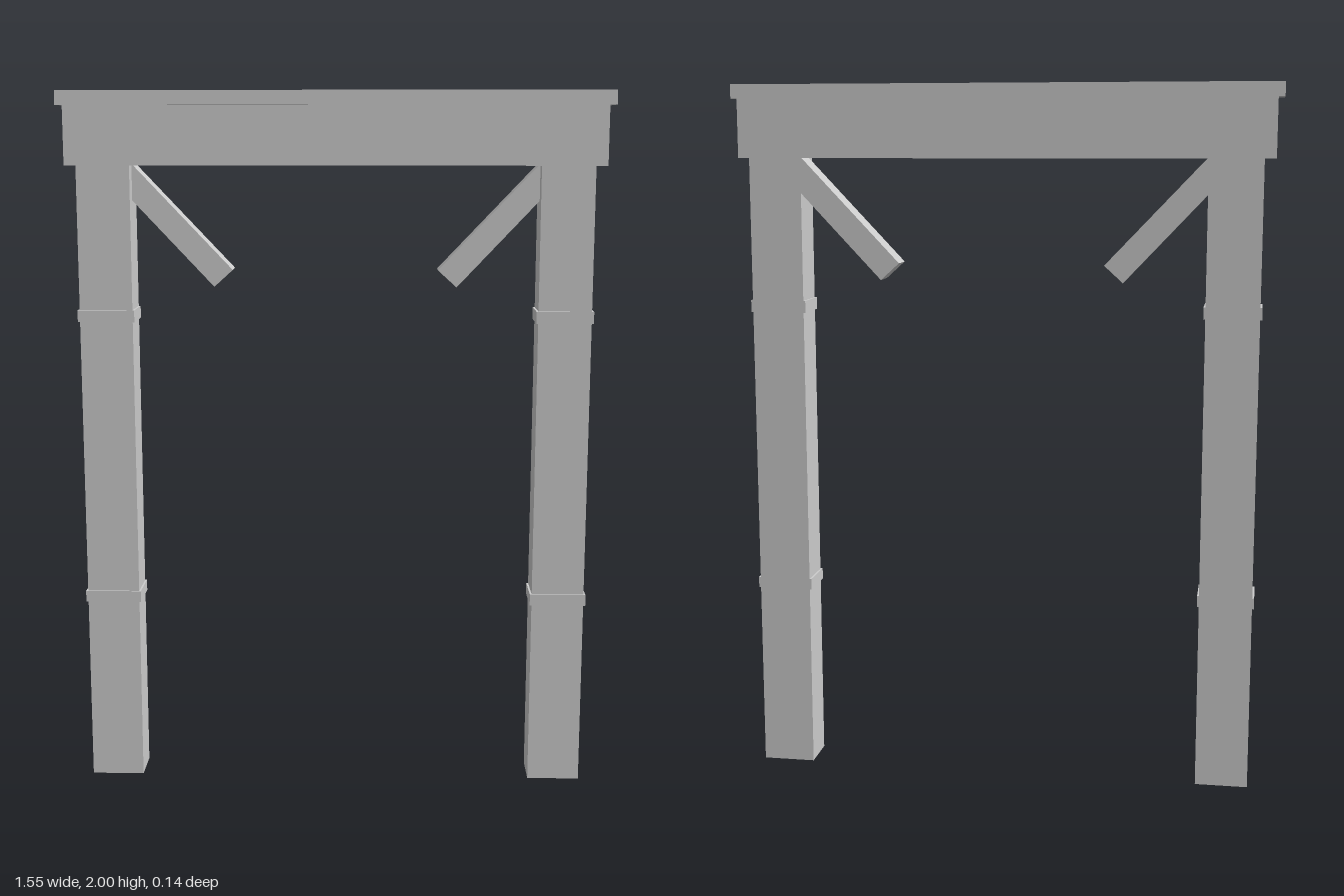
import * as THREE from 'three';

const BACK = -0.068; // every part is flush with this back plane

export function createModel() {
  const group = new THREE.Group();
  const material = new THREE.MeshStandardMaterial({ color: 0xcccccc, flatShading: true });

  function add(name, geometry, x, y, z) {
    const mesh = new THREE.Mesh(geometry, material);
    mesh.name = name;
    mesh.position.set(x, y, z);
    group.add(mesh);
  }

  // Box centred on x, from y0 to y1, running from the back plane to the front depth
  function block(name, x, width, y0, y1, front) {
    const depth = front - BACK;
    add(name, new THREE.BoxGeometry(width, y1 - y0, depth), x, (y0 + y1) / 2, BACK + depth / 2);
  }

  // Lintel and its projecting cap
  block('beam', 0, 1.51, 1.795, 1.96, 0.056);
  block('cap', 0, 1.546, 1.96, 2, 0.068);

  for (const side of [-1, 1]) {
    const label = side > 0 ? 'left' : 'right';

    // Post with two raised bands
    block(label + 'Post', side * 0.648, 0.15, 0, 1.795, 0.051);
    block(label + 'LowerBand', side * 0.648, 0.161, 0.535, 0.567, 0.056);
    block(label + 'UpperBand', side * 0.648, 0.161, 1.357, 1.391, 0.056);

    // Diagonal brace, cut flat against the post, with a free square end
    const profile = new THREE.Shape(
      [[0.573, 1.795], [0.573, 1.697], [0.344, 1.454], [0.291, 1.502], [0.569, 1.795]]
        .map(([x, y]) => new THREE.Vector2(side * x, y))
    );
    add(label + 'Brace', new THREE.ExtrudeGeometry(profile, { depth: 0.075, bevelEnabled: false }), 0, 0, BACK);
  }

  return group;
}
